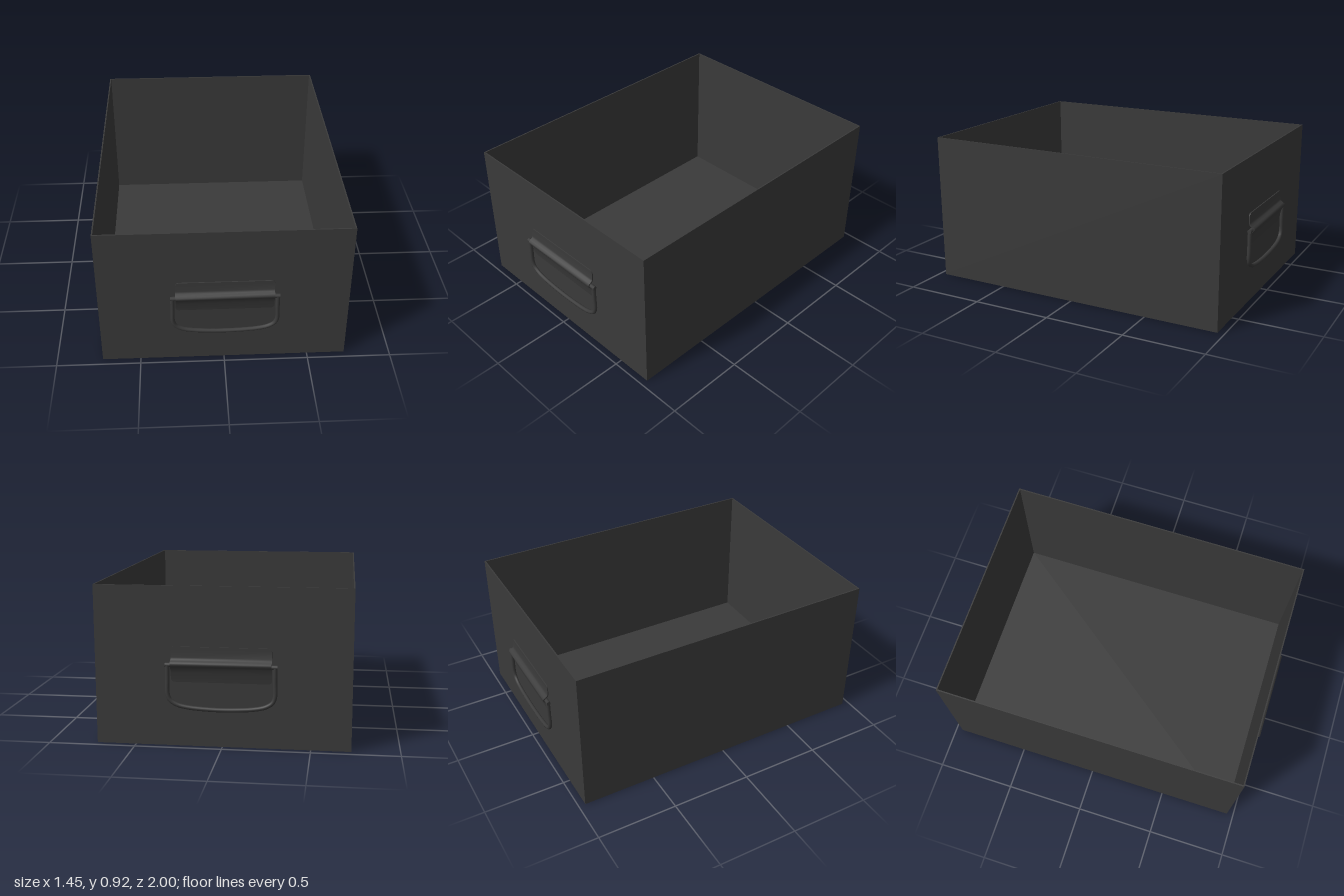
import * as THREE from 'three';

const W = 1.454, H = 0.92, D = 1.916, T = 0.008; // box size and wall thickness
const material = new THREE.MeshStandardMaterial({ color: 0x3a3a3a });

function add(parent, name, geometry, x = 0, y = 0, z = 0) {
  const mesh = new THREE.Mesh(geometry, material);
  mesh.name = name;
  mesh.position.set(x, y, z);
  parent.add(mesh);
  return mesh;
}

// Bent sheet plate: each row gives height, outer z and half width
function plateGeometry() {
  const rows = [
    [0.375, 0.006, 0.268], [0.38, 0.007, 0.279], [0.393, 0.009, 0.285],
    [0.43, 0.017, 0.285], [0.46, 0.026, 0.285], [0.47, 0.036, 0.285],
    [0.48, 0.042, 0.285], [0.49, 0.041, 0.285], [0.498, 0.031, 0.285],
    [0.507, 0.017, 0.285], [0.517, 0.011, 0.285], [0.56, 0.01, 0.285],
    [0.573, 0.01, 0.279], [0.578, 0.01, 0.268],
  ];
  const n = rows.length - 1;
  const g = new THREE.BoxGeometry(2, n, 1, 1, n, 1);
  const p = g.attributes.position;
  for (let i = 0; i < p.count; i++) {
    const [y, z, w] = rows[Math.round(p.getY(i) + n / 2)];
    const back = p.getZ(i) < 0;
    p.setXYZ(i, p.getX(i) * w, y - (back && y > 0.46 && y < 0.51 ? 0.005 : 0), back ? z - 0.006 : z);
  }
  g.computeVertexNormals();
  return g;
}

// Hanging bail: straight sides, rounded corners and a shallow curved bottom
function bailGeometry() {
  const half = [[0.303, 0.475], [0.303, 0.39], [0.303, 0.305], [0.289, 0.272],
    [0.25, 0.247], [0.19, 0.233], [0.1, 0.225]];
  const points = [...half, [0, 0.222], ...half.slice().reverse().map(([x, y]) => [-x, y])]
    .map(([x, y]) => new THREE.Vector3(x, y, 0.02));
  return new THREE.TubeGeometry(new THREE.CatmullRomCurve3(points), 64, 0.0125, 10);
}

function createHandle(name) {
  const handle = new THREE.Group();
  handle.name = name;
  add(handle, 'handlePlate', plateGeometry());
  add(handle, 'handleBail', bailGeometry());
  // Pivot rod held inside the plate's fold
  const rod = new THREE.CylinderGeometry(0.0125, 0.0125, 0.631, 10).rotateZ(Math.PI / 2);
  add(handle, 'handlePivot', rod, 0, 0.475, 0.02);
  return handle;
}

export function createModel() {
  const model = new THREE.Group();
  model.name = 'openBox';

  // Open box
  add(model, 'floor', new THREE.BoxGeometry(W, T, D), 0, T / 2, 0);
  for (const s of [1, -1]) {
    add(model, s > 0 ? 'leftWall' : 'rightWall',
      new THREE.BoxGeometry(T, H - T, D), s * (W - T) / 2, (H + T) / 2, 0);
    add(model, s > 0 ? 'frontWall' : 'backWall',
      new THREE.BoxGeometry(W - 2 * T, H - T, T), 0, (H + T) / 2, s * (D - T) / 2);

    // One handle at each end
    const handle = createHandle(s > 0 ? 'frontHandle' : 'backHandle');
    handle.position.set(0.004, 0, s * D / 2);
    handle.rotation.y = s > 0 ? 0 : Math.PI;
    model.add(handle);
  }
  return model;
}
